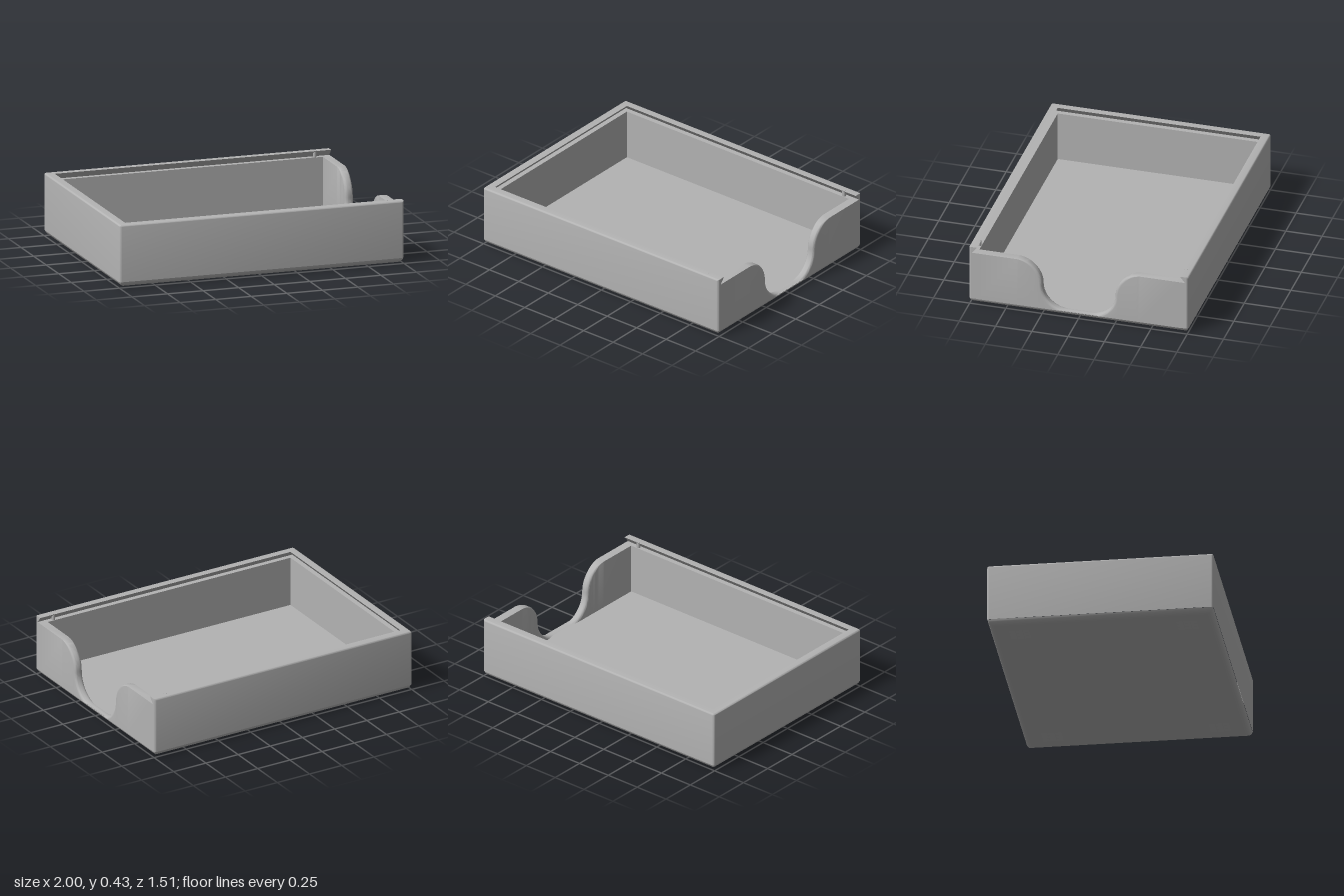
import * as THREE from 'three';
import { toCreasedNormals } from 'three/addons/utils/BufferGeometryUtils.js';

const L = 1, W = 0.757, H = 0.43;      // half length, half width, height
const FLOOR = 0.04, LEDGE = 0.387, T = 0.058, R = 0.016, PAD = 0.004;
const range = (n) => Array.from({ length: n + 1 }, (_, i) => i / n);
const QUARTER = Math.PI / 2;

// Surface through rows of points; every row has the same count
function loft(rows) {
  const pos = [];
  for (let i = 0; i < rows.length - 1; i++) {
    for (let j = 0; j < rows[i].length - 1; j++) {
      const a = rows[i][j], b = rows[i + 1][j], c = rows[i + 1][j + 1], d = rows[i][j + 1];
      pos.push(...a, ...b, ...c, ...a, ...c, ...d);
    }
  }
  const g = new THREE.BufferGeometry();
  g.setAttribute('position', new THREE.Float32BufferAttribute(pos, 3));
  return toCreasedNormals(g, 0.6);
}

// Point on a rounded corner, inset by d from the outer faces
function corner(sx, sz, d, t) {
  const c = Math.max(d, R), r = Math.max(R - d, 0);
  return [sx * (L - c + r * Math.sin(t)), sz * (W - c + r * Math.cos(t))];
}

export function createModel() {
  const group = new THREE.Group();
  const grey = new THREE.MeshStandardMaterial({ color: 0xb3b3b3 });
  const add = (name, geometry) => {
    const mesh = new THREE.Mesh(geometry, grey);
    mesh.name = name;
    group.add(mesh);
    return mesh;
  };

  // Base slab with a filleted lower edge; section is [inset, height]
  const F = 0.05;
  const top = Math.acos((F - FLOOR + PAD) / F);
  const baseSection = [[W, PAD]];
  for (const k of range(8)) {
    const a = k * top;
    baseSection.push([F * (1 - Math.sin(a)), PAD + F * (1 - Math.cos(a))]);
  }
  baseSection.push([W, FLOOR]);
  const baseRows = [];
  [[-1, -1, 0], [-1, 1, 1], [1, 1, 0], [1, -1, 1]].forEach(([sx, sz, flip]) => {
    for (const k of range(4)) {
      const t = (flip ? 1 - k : k) * QUARTER;
      baseRows.push(baseSection.map(([d, y]) => {
        const [x, z] = corner(sx, sz, d, t);
        return [x, y, z];
      }));
    }
  });
  baseRows.push(baseRows[0]);
  add('base', loft(baseRows));

  // Three walls in a U, with an undercut groove for a sliding lid
  const wallSection = [[0, FLOOR]];
  for (const k of range(4)) {
    const a = k * QUARTER;
    wallSection.push([0.012 * (1 - Math.cos(a)), H - 0.012 * (1 - Math.sin(a))]);
  }
  wallSection.push([T, H], [0.023, LEDGE], [T, LEDGE], [T, FLOOR]);
  const half = [];
  for (const k of range(4)) {          // rounded open end
    const t = (1 - k) * QUARTER;
    half.push(wallSection.map(([d, y]) =>
      [L - R + R * Math.sin(t), y, -(W - Math.max(d, R * (1 - Math.cos(t))))]));
  }
  for (const k of range(4)) {          // rounded closed corner
    half.push(wallSection.map(([d, y]) => {
      const [x, z] = corner(-1, -1, d, k * QUARTER);
      return [x, y, z];
    }));
  }
  const mirrorRow = (row) => row.map(([x, y, z]) => [x, y, -z]);
  add('grooveWalls', loft([...half, ...half.map(mirrorRow).reverse()]));

  // Caps on the open ends of the two long walls
  for (const s of [-1, 1]) {
    const outline = wallSection.map(([d, y]) => new THREE.Vector2(-s * (W - Math.max(d, R)), y));
    const cap = new THREE.ShapeGeometry(new THREE.Shape(outline));
    cap.rotateY(QUARTER);
    cap.translate(L, 0, 0);
    add('wallEnd', cap);
  }

  // End wall with an S-curved finger notch and softened edge
  const A = 0.173, SOFT = 0.02;
  const curve = [{ z: 0.7, y: LEDGE, nz: 0, ny: 1, r: 0 }];
  for (const k of range(20)) {
    const a = QUARTER * (1 + k);
    const nz = Math.cos(a), ny = Math.sin(a);
    curve.push({ z: 0.4245 + A * nz, y: LEDGE - A + A * ny, nz, ny, r: SOFT * Math.min(1, k * 2) });
  }
  for (const k of range(20).slice(1)) {
    const a = -QUARTER * k;
    const c = Math.cos(a), s = Math.sin(a);
    curve.push({ z: 0.0785 + A * c, y: 0.041 + A + A * s, nz: -c, ny: -s, r: SOFT });
  }
  const fullCurve = [...curve, ...curve.map((p) => ({ ...p, z: -p.z, nz: -p.nz })).reverse()];
  const endRows = fullCurve.map(({ z, y, nz, ny, r }) => {
    const low = FLOOR - 0.001;
    const outer = [], inner = [];
    for (const k of range(5)) {
      const a = k * QUARTER, dx = r * (1 - Math.cos(a)), off = r * (1 - Math.sin(a));
      const py = Math.max(low, y - ny * off), pz = z - nz * off;
      outer.push([L - dx, py, pz]);
      inner.unshift([L - T + dx, py, pz]);
    }
    const zLow = z - nz * r;
    return [[L, low, zLow], ...outer, ...inner, [L - T, low, zLow]];
  });
  add('notchedEndWall', loft(endRows));

  // Lid catches near the open end of the groove
  for (const s of [-1, 1]) {
    const h = H - LEDGE + 0.001;
    add('lidCatch', new THREE.CylinderGeometry(0.012, 0.012, h, 16))
      .position.set(0.89, LEDGE + h / 2, s * 0.713);
  }

  // Textured grip patches under the corners
  const stud = new THREE.ConeGeometry(0.031, PAD, 4).toNonIndexed();
  stud.rotateY(Math.PI / 4);
  stud.rotateX(Math.PI);
  stud.computeVertexNormals();
  for (const sx of [-1, 1]) for (const sz of [-1, 1]) {
    for (let i = -1; i <= 1; i++) for (let j = -1; j <= 1; j++) {
      add('gripStud', stud).position.set(sx * 0.81 + i * 0.047, PAD / 2, sz * 0.56 + j * 0.047);
    }
  }
  return group;
}
